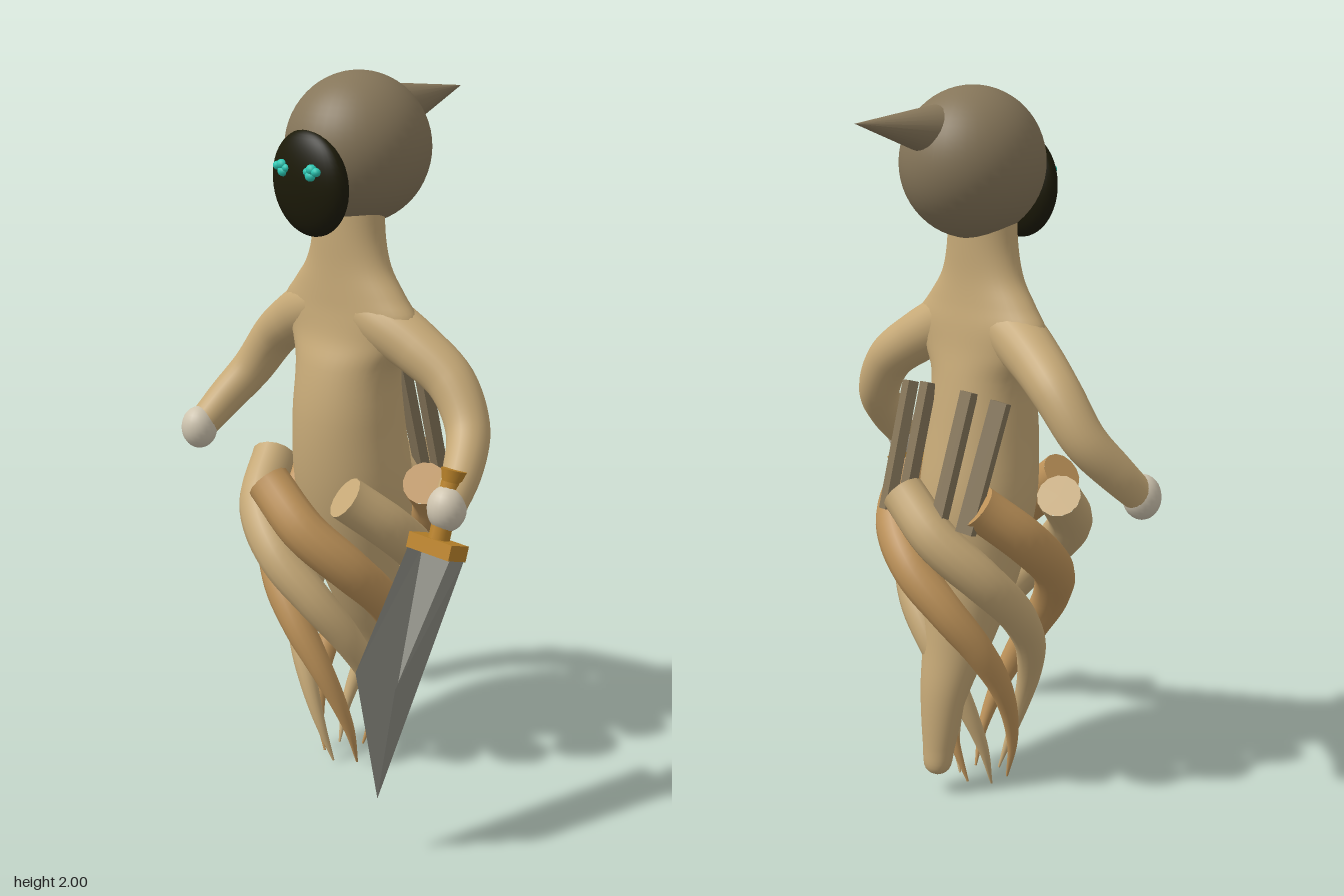
import * as THREE from 'three';
import { mergeVertices } from 'three/addons/utils/BufferGeometryUtils.js';

const V = (x, y, z) => new THREE.Vector3(x, y, z);
const CX = -0.015; // centre line of the figure

const mat = (name, color) => {
  const m = new THREE.MeshStandardMaterial({ color });
  m.name = name;
  return m;
};

// Tube whose radius follows a list of values along its path
function taperedTube(points, radii, segments, sides) {
  const curve = new THREE.CatmullRomCurve3(points);
  const geo = new THREE.TubeGeometry(curve, segments, 1, sides, false);
  const pos = geo.attributes.position;
  const v = V(0, 0, 0);
  for (let i = 0; i <= segments; i++) {
    const c = curve.getPointAt(i / segments);
    const f = (i / segments) * (radii.length - 1);
    const k = Math.min(Math.floor(f), radii.length - 2);
    const r = THREE.MathUtils.lerp(radii[k], radii[k + 1], f - k);
    for (let j = 0; j <= sides; j++) {
      const n = i * (sides + 1) + j;
      v.fromBufferAttribute(pos, n).sub(c).multiplyScalar(r).add(c);
      pos.setXYZ(n, v.x, v.y, v.z);
    }
  }
  return { geo, curve };
}

// Smooth loft through elliptical sections [y, half width, centre z, half depth]
function loft(sections) {
  const path = new THREE.CatmullRomCurve3(sections.map(([y, w, z]) => V(w, y, z)));
  const depth = new THREE.CatmullRomCurve3(sections.map(([y, , , d]) => V(d, y, 0)));
  let geo = new THREE.CylinderGeometry(1, 1, 1, 40, 70, true);
  const pos = geo.attributes.position;
  for (let i = 0; i < pos.count; i++) {
    const t = 0.5 - pos.getY(i);
    const p = path.getPoint(t), d = depth.getPoint(t).x;
    pos.setXYZ(i, CX + pos.getX(i) * p.x, p.y, p.z + pos.getZ(i) * d);
  }
  geo.deleteAttribute('uv');
  geo.deleteAttribute('normal');
  geo = mergeVertices(geo, 1e-5);
  geo.computeVertexNormals();
  return geo;
}

export function createModel() {
  const root = new THREE.Group();
  const tan = mat('tan', 0xc6a977);
  const brown = mat('warm brown', 0xbd9259);
  const hood = mat('grey brown', 0x86765a);
  const dark = mat('dark face', 0x1c1a08);
  const bone = mat('bone', 0xcfc5b0);
  const gold = mat('gold', 0xb9822a);
  const steel = mat('steel', 0x8d8d84);
  steel.side = THREE.DoubleSide;
  const teal = mat('teal', 0x2cc8b4);

  const add = (name, geo, material, x = 0, y = 0, z = 0, parent = root) => {
    const m = new THREE.Mesh(geo, material);
    m.name = name;
    m.position.set(x, y, z);
    parent.add(m);
    return m;
  };

  // Head with a backward horn
  add('head', new THREE.SphereGeometry(1, 40, 28), hood, CX, 1.793, -0.014).scale.set(0.196, 0.207, 0.205);
  const horn = add('horn', new THREE.ConeGeometry(0.07, 0.27, 24), hood, CX, 1.902, -0.287);
  horn.rotation.x = -Math.PI / 2 + 0.13;

  // Face mask and clustered eyes
  const face = add('face', new THREE.SphereGeometry(1, 36, 24), dark, CX, 1.718, 0.165);
  face.scale.set(0.136, 0.145, 0.055);
  face.rotation.x = 0.05;
  for (const s of [-1, 1]) {
    const eye = new THREE.Group();
    eye.name = s > 0 ? 'leftEye' : 'rightEye';
    eye.position.set(CX + s * 0.057, 1.76, 0.215);
    root.add(eye);
    for (const [x, y, r] of [[-0.017, 0.003, 0.012], [0, 0.008, 0.014], [0.004, -0.01, 0.014], [0.016, 0, 0.011]])
      add('eyeBlob', new THREE.SphereGeometry(r, 12, 8), teal, -s * x, y, 0, eye).scale.x = 1.2;
  }

  // Neck, sloping shoulders, torso and trailing tail
  add('body', loft([
    [1.68, 0.11, 0.02, 0.08], [1.56, 0.118, 0.022, 0.08], [1.48, 0.145, 0.022, 0.08],
    [1.41, 0.2, 0.02, 0.084], [1.35, 0.245, 0.017, 0.09], [1.28, 0.215, 0.018, 0.1],
    [1.2, 0.17, 0.025, 0.122], [1.05, 0.166, 0.025, 0.148], [0.85, 0.175, 0.005, 0.16],
    [0.65, 0.15, -0.02, 0.135], [0.45, 0.105, -0.068, 0.1], [0.3, 0.075, -0.12, 0.066],
    [0.14, 0.05, -0.143, 0.044], [0.07, 0.036, -0.15, 0.032], [0.05, 0.002, -0.15, 0.002],
  ]), tan);

  // Arms and hands
  for (const s of [-1, 1]) {
    const side = s > 0 ? 'left' : 'right';
    const pts = [[0.03, 1.37, 0.02], [0.14, 1.33, 0.017], [0.245, 1.275, -0.002], [0.35, 1.2, -0.02],
      [0.43, 1.09, 0], [0.476, 1.0, 0.07], [0.498, 0.93, 0.14]];
    const arm = taperedTube(pts.map(([x, y, z]) => V(CX + s * x, y, z)),
      [0.08, 0.081, 0.073, 0.067, 0.061, 0.055, 0.046], 40, 24);
    add(side + 'Arm', arm.geo, tan);
    add(side + 'Hand', new THREE.SphereGeometry(0.053, 20, 16), bone, CX + s * 0.498, 0.923, 0.152).scale.y = 1.18;
  }

  // Six spiralling tentacles in alternating colours, twisting faster near the top
  const spread = [0.25, 0.246, 0.226, 0.193, 0.162, 0.135, 0.114, 0.095, 0.07];
  for (let i = 0; i < 6; i++) {
    const start = THREE.MathUtils.degToRad(106 - i * 60);
    const pts = spread.map((r, k) => {
      const t = k / (spread.length - 1);
      const a = start - t * (1.32 - 0.32 * t) * Math.PI * 1.13;
      return V(CX + r * Math.cos(a), 0.885 * (1 - t), 0.028 + r * Math.sin(a));
    });
    const { geo, curve } = taperedTube(pts, [0.062, 0.063, 0.062, 0.057, 0.05, 0.041, 0.029, 0.017, 0.003], 48, 14);
    const material = i % 2 ? tan : brown;
    add('tentacle', geo, material);
    const cap = add('tentacleTop', new THREE.CircleGeometry(0.062, 14), material);
    cap.position.copy(pts[0]);
    cap.lookAt(pts[0].clone().sub(curve.getTangentAt(0)));
  }

  // Slats tucked behind the back, leaning in towards the bottom
  for (const [x, y, z, width, turn, lean] of [[-0.193, 0.99, -0.135, 0.05, 0.35, 0.06], [-0.085, 1.0, -0.146, 0.04, 0.15, 0.03],
    [0.075, 1.0, -0.146, 0.04, -0.15, -0.03], [0.16, 0.99, -0.138, 0.05, -0.35, -0.06]]) {
    const slat = add('backSlat', new THREE.BoxGeometry(width, 0.37, 0.03), hood, x, y, z);
    slat.rotation.set(0.28, turn, lean);
  }

  // Dagger grip, pommel and guard
  const dagger = new THREE.Group();
  dagger.name = 'dagger';
  dagger.position.set(0.48, 0.824, 0.183);
  dagger.rotation.x = -0.3;
  root.add(dagger);
  add('guard', new THREE.BoxGeometry(0.152, 0.042, 0.07), gold, 0, 0, 0, dagger);
  add('grip', new THREE.CylinderGeometry(0.028, 0.03, 0.17, 10), gold, 0, 0.09, 0, dagger);
  add('pommel', new THREE.CylinderGeometry(0.036, 0.026, 0.035, 10), gold, 0, 0.19, 0, dagger);

  // Folded blade: a tapering back plate with a fin along each edge
  const tip = [0.48, 0.17, 0.403];
  const [fl, fr] = [[0.405, 0.815, 0.215], [0.555, 0.815, 0.215]];
  const [bl, br] = [[0.405, 0.8, 0.16], [0.555, 0.8, 0.16]];
  const [ml, mr] = [[0.42, 0.52, 0.425], [0.565, 0.52, 0.425]];
  const faces = [bl, tip, br, fl, ml, bl, ml, tip, bl, fr, br, mr, mr, br, tip];
  const blade = new THREE.BufferGeometry();
  blade.setAttribute('position', new THREE.Float32BufferAttribute(faces.flat(), 3));
  blade.computeVertexNormals();
  add('blade', blade, steel);

  return root;
}
